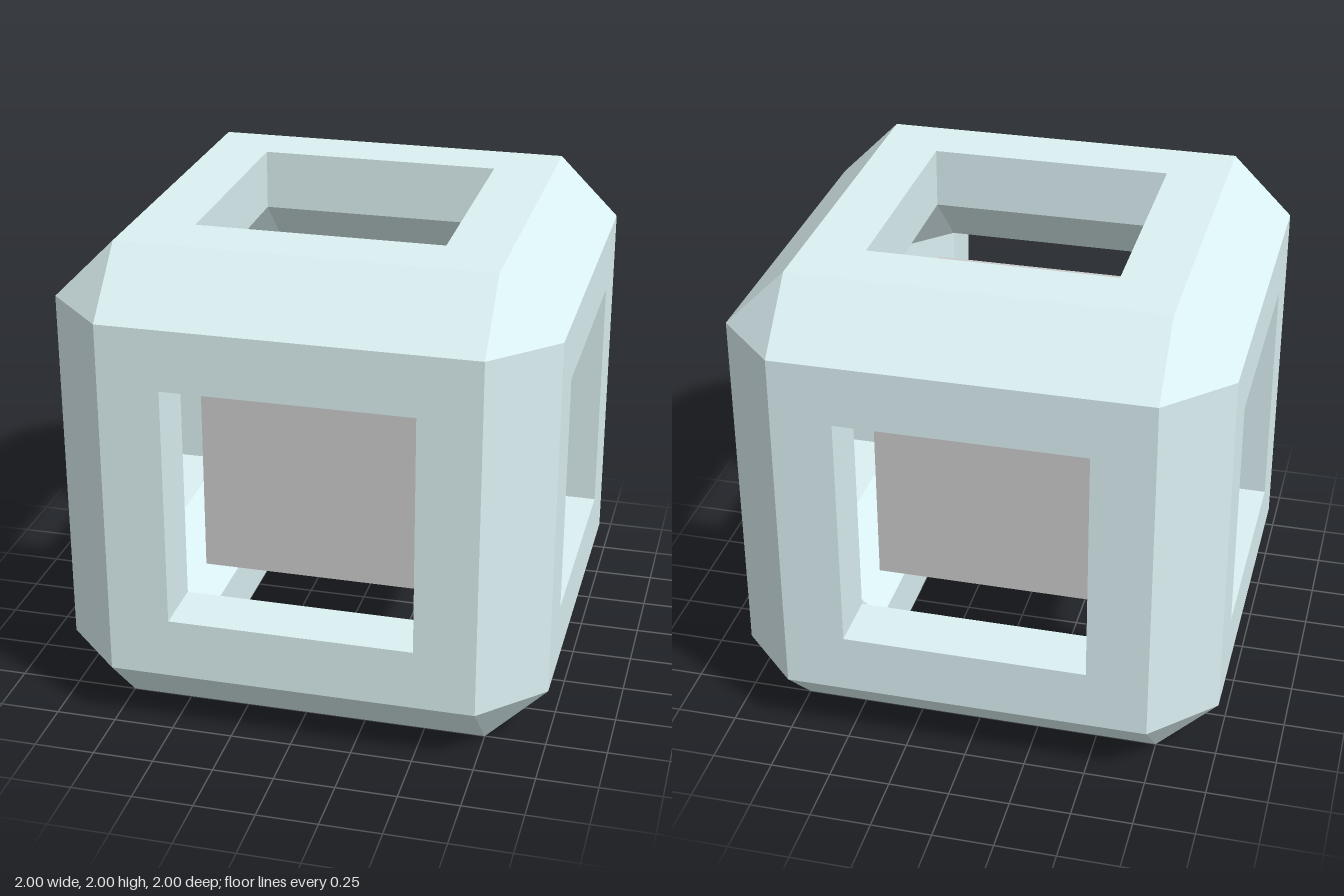
import * as THREE from 'three';

// Half sizes: outer face plane, chamfer start (also inner wall depth), window and core
const OUT = 1, MID = 0.75, WIN = 0.5;

// Point given along axis a and the two axes that follow it
function point(a, va, vb, vc) {
  const v = [0, 0, 0];
  v[a] = va;
  v[(a + 1) % 3] = vb;
  v[(a + 2) % 3] = vc;
  return new THREE.Vector3(...v);
}

function frameGeometry() {
  const positions = [];

  // Flat convex polygon, wound so that it faces along the given direction
  function addPolygon(corners, facing) {
    const normal = corners[1].clone().sub(corners[0]).cross(corners[2].clone().sub(corners[0]));
    const pts = normal.dot(facing) < 0 ? corners.slice().reverse() : corners;
    for (let i = 1; i < pts.length - 1; i++) {
      for (const p of [pts[0], pts[i], pts[i + 1]]) positions.push(p.x, p.y, p.z);
    }
  }

  const ring = [[-1, -1], [1, -1], [1, 1], [-1, 1]];
  for (let a = 0; a < 3; a++) {
    // Square face borders and window walls
    for (const s of [-1, 1]) {
      for (let k = 0; k < 4; k++) {
        const p = ring[k], q = ring[(k + 1) % 4];
        const at = (depth, r, c) => point(a, s * depth, r * c[0], r * c[1]);
        addPolygon([at(OUT, MID, p), at(OUT, MID, q), at(OUT, WIN, q), at(OUT, WIN, p)], point(a, s, 0, 0));
        addPolygon([at(OUT, WIN, p), at(OUT, WIN, q), at(MID, WIN, q), at(MID, WIN, p)],
          point(a, 0, -p[0] - q[0], -p[1] - q[1]));
      }
    }
    // Edge chamfers, outside and inside
    for (const [sb, sc] of ring) {
      for (const [hi, lo, side] of [[OUT, MID, 1], [MID, WIN, -1]]) {
        addPolygon([
          point(a, -lo, hi * sb, lo * sc), point(a, lo, hi * sb, lo * sc),
          point(a, lo, lo * sb, hi * sc), point(a, -lo, lo * sb, hi * sc),
        ], point(a, 0, side * sb, side * sc));
      }
    }
  }

  // Corner triangles, outside and inside
  for (const x of [-1, 1]) for (const [y, z] of ring) {
    for (const [hi, lo, side] of [[OUT, MID, 1], [MID, WIN, -1]]) {
      addPolygon([
        point(0, hi * x, lo * y, lo * z), point(0, lo * x, hi * y, lo * z), point(0, lo * x, lo * y, hi * z),
      ], point(0, side * x, side * y, side * z));
    }
  }

  const geometry = new THREE.BufferGeometry();
  geometry.setAttribute('position', new THREE.Float32BufferAttribute(positions, 3));
  geometry.computeVertexNormals();
  return geometry;
}

export function createModel() {
  const model = new THREE.Group();
  model.name = 'framedCube';

  // Chamfered open frame
  const frame = new THREE.Mesh(frameGeometry(), new THREE.MeshStandardMaterial({ color: 0xdcf1f3, flatShading: true }));
  frame.name = 'frame';
  frame.position.y = OUT;

  // Floating cube in the middle
  const core = new THREE.Mesh(
    new THREE.BoxGeometry(2 * WIN, 2 * WIN, 2 * WIN),
    new THREE.MeshStandardMaterial({ color: 0xcccccc, flatShading: true }),
  );
  core.name = 'core';
  core.position.y = OUT;

  model.add(frame, core);
  return model;
}
